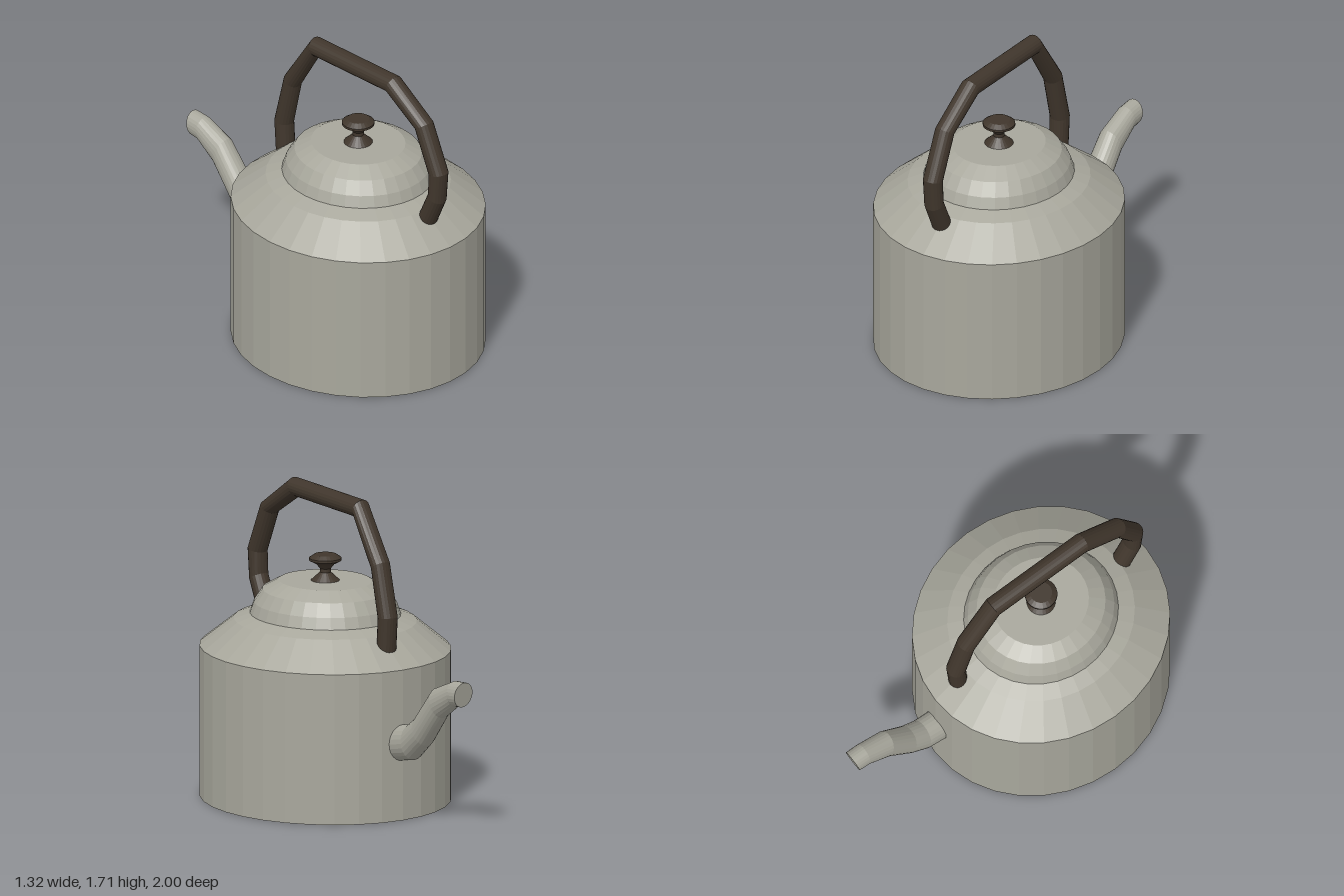
import * as THREE from 'three';

const CENTER_Z = 0.285; // axis of the pot
const STRETCH_Z = 1.083; // the pot is slightly longer than wide

// Sweep through elliptical sections: [outer z, outer y, inner z, inner y, half width in x]
function loft(sections, sides) {
  const pos = [];
  const index = [];
  const mids = [];
  for (const [oz, oy, iz, iy, rx] of sections) {
    const mz = (oz + iz) / 2, my = (oy + iy) / 2;
    mids.push([0, my, mz]);
    for (let j = 0; j < sides; j++) {
      const a = (j / sides) * Math.PI * 2;
      pos.push(rx * Math.cos(a), my + (oy - my) * Math.sin(a), mz + (oz - mz) * Math.sin(a));
    }
  }
  const last = sections.length - 1;
  const startCap = pos.length / 3;
  pos.push(...mids[0], ...mids[last]);
  for (let j = 0; j < sides; j++) {
    const k = (j + 1) % sides;
    for (let i = 0; i < last; i++) {
      const a = i * sides + j, b = i * sides + k;
      index.push(a, a + sides, b, b, a + sides, b + sides);
    }
    index.push(startCap, j, k, startCap + 1, last * sides + k, last * sides + j);
  }
  const g = new THREE.BufferGeometry();
  g.setAttribute('position', new THREE.Float32BufferAttribute(pos, 3));
  g.setIndex(index);
  g.computeVertexNormals();
  return g;
}

function lathe(profile, sides) {
  return new THREE.LatheGeometry(profile.map(([r, y]) => new THREE.Vector2(r, y)), sides);
}

export function createModel() {
  const metal = new THREE.MeshStandardMaterial({ color: 0xa8a79c });
  metal.name = 'greyMetal';
  metal.flatShading = true;
  const dark = new THREE.MeshStandardMaterial({ color: 0x40362c });
  dark.name = 'darkWood';
  dark.flatShading = true;

  const model = new THREE.Group();
  model.name = 'kettle';
  const add = (name, geometry, material) => {
    const mesh = new THREE.Mesh(geometry, material);
    mesh.name = name;
    model.add(mesh);
    return mesh;
  };
  const addTurned = (name, profile, sides, material, stretch) => {
    const mesh = add(name, lathe(profile, sides), material);
    mesh.scale.z = stretch;
    mesh.position.z = CENTER_Z;
  };

  // Body with sloping shoulder
  addTurned('body', [[0, 0], [0.66, 0], [0.66, 0.83], [0.48, 0.98], [0.39, 1.015], [0, 1.015]], 32, metal, STRETCH_Z);

  // Domed lid
  addTurned('lid', [[0.397, 1.01], [0.375, 1.075], [0.33, 1.145], [0.245, 1.195], [0, 1.195]], 32, metal, STRETCH_Z);

  // Turned knob
  addTurned('knob', [
    [0.08, 1.193], [0.03, 1.24], [0.03, 1.26], [0.05, 1.285], [0.088, 1.305], [0.088, 1.318], [0.06, 1.337], [0, 1.337],
  ], 24, dark, 1);

  // Arched handle, front foot to back foot
  const W = 0.055;
  add('handle', loft([
    [0.855, 0.88, 0.755, 0.91, W],
    [0.945, 1.08, 0.855, 1.125, W],
    [0.962, 1.262, 0.858, 1.24, W],
    [0.84, 1.53, 0.755, 1.475, W],
    [0.575, 1.71, 0.537, 1.61, W],
    [-0.055, 1.70, -0.025, 1.60, W],
    [-0.265, 1.395, -0.18, 1.345, W],
    [-0.342, 1.10, -0.238, 1.09, W],
    [-0.325, 0.86, -0.225, 0.86, W],
  ], 20), dark);

  // Curved spout, from inside the body to the tip
  add('spout', loft([
    [-0.36, 0.515, -0.36, 0.315, 0.086],
    [-0.505, 0.545, -0.54, 0.355, 0.082],
    [-0.59, 0.61, -0.655, 0.455, 0.077],
    [-0.74, 0.79, -0.805, 0.635, 0.069],
    [-0.91, 0.86, -0.925, 0.72, 0.061],
    [-1.0, 0.867, -0.977, 0.727, 0.06],
  ], 24), metal);

  return model;
}
